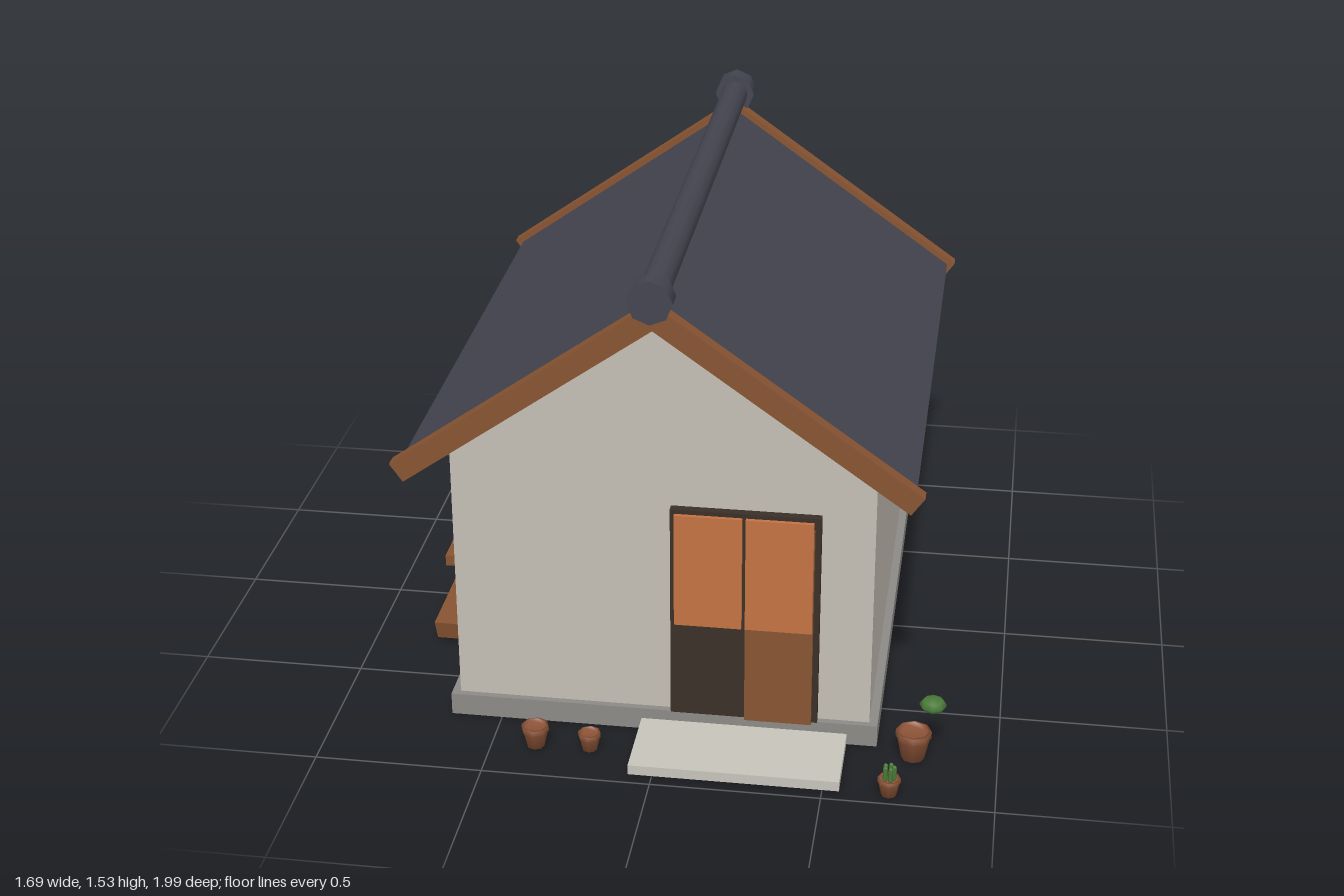
import * as THREE from 'three';

const mat = (name, color) => Object.assign(new THREE.MeshStandardMaterial({ color }), { name });

export function createModel() {
  const model = new THREE.Group();
  model.name = 'house';
  const plaster = mat('plaster', 0xc4bfb4);
  const stone = mat('foundation stone', 0x8c8a86);
  const paleStone = mat('step stone', 0xc6c4ba);
  const tile = mat('roof tile', 0x444450);
  const wood = mat('wood', 0x885432);
  const cloth = mat('curtain cloth', 0xc47344);
  const dark = mat('dark opening', 0x3a3029);
  const paper = mat('window paper', 0xc8b684);
  const clay = mat('clay', 0x8a5236);
  const leaf = mat('leaf', 0x4a7a38);

  const add = (name, geometry, material, x = 0, y = 0, z = 0) => {
    const mesh = new THREE.Mesh(geometry, material);
    mesh.name = name;
    mesh.position.set(x, y, z);
    model.add(mesh);
    return mesh;
  };
  // Box given by its limits on each axis
  const box = (name, material, x0, x1, y0, y1, z0, z1) =>
    add(name, new THREE.BoxGeometry(x1 - x0, y1 - y0, z1 - z0), material,
      (x0 + x1) / 2, (y0 + y1) / 2, (z0 + z1) / 2);

  const cx = -0.008, cz = -0.0625;

  // Foundation, walls and step
  box('foundation', stone, -0.655, 0.64, 0, 0.07, -0.84, 0.71);
  box('walls', plaster, -0.63, 0.615, 0.07, 0.96, -0.815, 0.69);
  box('step', paleStone, -0.07, 0.55, 0.005, 0.036, 0.7, 0.965);

  // Gable prism running the length of the house
  const gable = new THREE.Shape([
    new THREE.Vector2(-0.6225, 0.96), new THREE.Vector2(0.6225, 0.96),
    new THREE.Vector2(0.6, 0.98), new THREE.Vector2(0, 1.4), new THREE.Vector2(-0.6, 0.98),
  ]);
  add('gable', new THREE.ExtrudeGeometry(gable, { depth: 1.505, bevelEnabled: false }),
    plaster, cx, 0, -0.815);

  // Roof slopes and barge boards, mirrored about the ridge
  const apex = 1.406, pitch = Math.atan(0.71);
  const slope = (name, material, side, run, thick, z0, z1) => {
    // Cross-section has a vertical cut at the ridge and a square cut at the eave
    const nx = Math.sin(pitch) * thick / 2, ny = Math.cos(pitch) * thick / 2;
    const rise = thick / 2 / Math.cos(pitch), y = apex - run * 0.71;
    const pts = [[0, apex - rise], [run - nx, y - ny], [run + nx, y + ny], [0, apex + rise]]
      .map(([px, py]) => new THREE.Vector2(px * side, py));
    const geometry = new THREE.ExtrudeGeometry(new THREE.Shape(pts), { depth: z1 - z0, bevelEnabled: false });
    add(name, geometry, material, cx, 0, z0);
  };
  for (const side of [-1, 1]) {
    slope('roofSlope', tile, side, 0.73, 0.03, -0.912, 0.787);
    slope('frontBargeBoard', wood, side, 0.745, 0.066, 0.787, 0.83);
    slope('backBargeBoard', wood, side, 0.745, 0.066, -0.955, -0.912);
  }

  // Ridge roll with faceted end caps
  const rod = (name, r, z0, z1, sides) =>
    add(name, new THREE.CylinderGeometry(r, r, z1 - z0, sides).rotateX(Math.PI / 2),
      tile, cx, 1.467, (z0 + z1) / 2);
  rod('ridgeRoll', 0.043, -0.95, 0.83, 12);
  rod('frontRidgeCap', 0.065, 0.812, 0.875, 8);
  rod('backRidgeCap', 0.065, -1, -0.937, 8);

  // Doorway, half-open sliding door and split curtain
  box('doorway', dark, 0.02, 0.46, 0.07, 0.757, 0.68, 0.715);
  box('slidingDoor', wood, 0.243, 0.443, 0.07, 0.72, 0.715, 0.73);
  box('doorHandle', dark, 0.415, 0.43, 0.54, 0.66, 0.73, 0.738);
  box('curtainHalf', cloth, 0.04, 0.238, 0.41, 0.77, 0.764, 0.776);
  box('curtainHalf', cloth, 0.248, 0.444, 0.41, 0.77, 0.764, 0.776);

  // Pair of windows on one side wall, each with its sill
  for (const z of [-0.65, -0.13]) {
    box('windowPost', wood, -0.666, -0.625, 0.345, 0.87, z, z + 0.035);
    box('windowEdge', wood, -0.666, -0.625, 0.345, 0.87, z + 0.44, z + 0.455);
    box('windowHead', wood, -0.666, -0.625, 0.835, 0.87, z + 0.035, z + 0.44);
    box('windowPane', paper, -0.65, -0.625, 0.345, 0.835, z + 0.035, z + 0.44);
    box('windowSill', wood, -0.745, -0.625, 0.313, 0.348, z - 0.03, z + 0.488);
  }

  // Planter box, narrowing towards its foot
  const planter = new THREE.CylinderGeometry(Math.SQRT1_2, 0.64, 1, 4, 1).rotateY(Math.PI / 4)
    .toNonIndexed();
  planter.scale(0.108, 0.062, 0.3);
  planter.computeVertexNormals();
  add('planter', planter, wood, -0.751, 0.041, 0.16);

  // Clay pots: centre, rim radius, height
  const pots = [
    [-0.755, -0.69, 0.046, 0.075], [-0.768, -0.265, 0.035, 0.062],
    [-0.367, 0.85, 0.041, 0.074], [-0.204, 0.847, 0.034, 0.062],
    [0.75, 0.755, 0.053, 0.096], [0.693, 0.957, 0.034, 0.06],
  ];
  for (const [x, z, r, h] of pots) {
    const profile = [[0, 0.004], [r * 0.65, 0.004], [r * 0.92, h * 0.75], [r, h * 0.78],
      [r, h], [r * 0.85, h], [r * 0.8, h * 0.85], [0, h * 0.85]];
    add('pot', new THREE.LatheGeometry(profile.map(([a, b]) => new THREE.Vector2(a, b)), 8), clay, x, 0, z);
  }

  // Flat foliage tufts and a small clump of cactus stems
  for (const [x, y, z, s] of [[-0.812, 0.178, -0.69, 0.036], [0.803, 0.191, 0.755, 0.041]]) {
    add('foliage', new THREE.SphereGeometry(s, 8, 4).scale(1, 0.52, 1), leaf, x, y, z);
  }
  for (let i = 0; i < 5; i++) {
    const a = i * Math.PI * 2 / 5;
    add('cactusStem', new THREE.CapsuleGeometry(0.007, 0.036, 2, 6), leaf,
      0.693 + 0.014 * Math.cos(a), 0.078, 0.957 + 0.014 * Math.sin(a));
  }
  return model;
}
